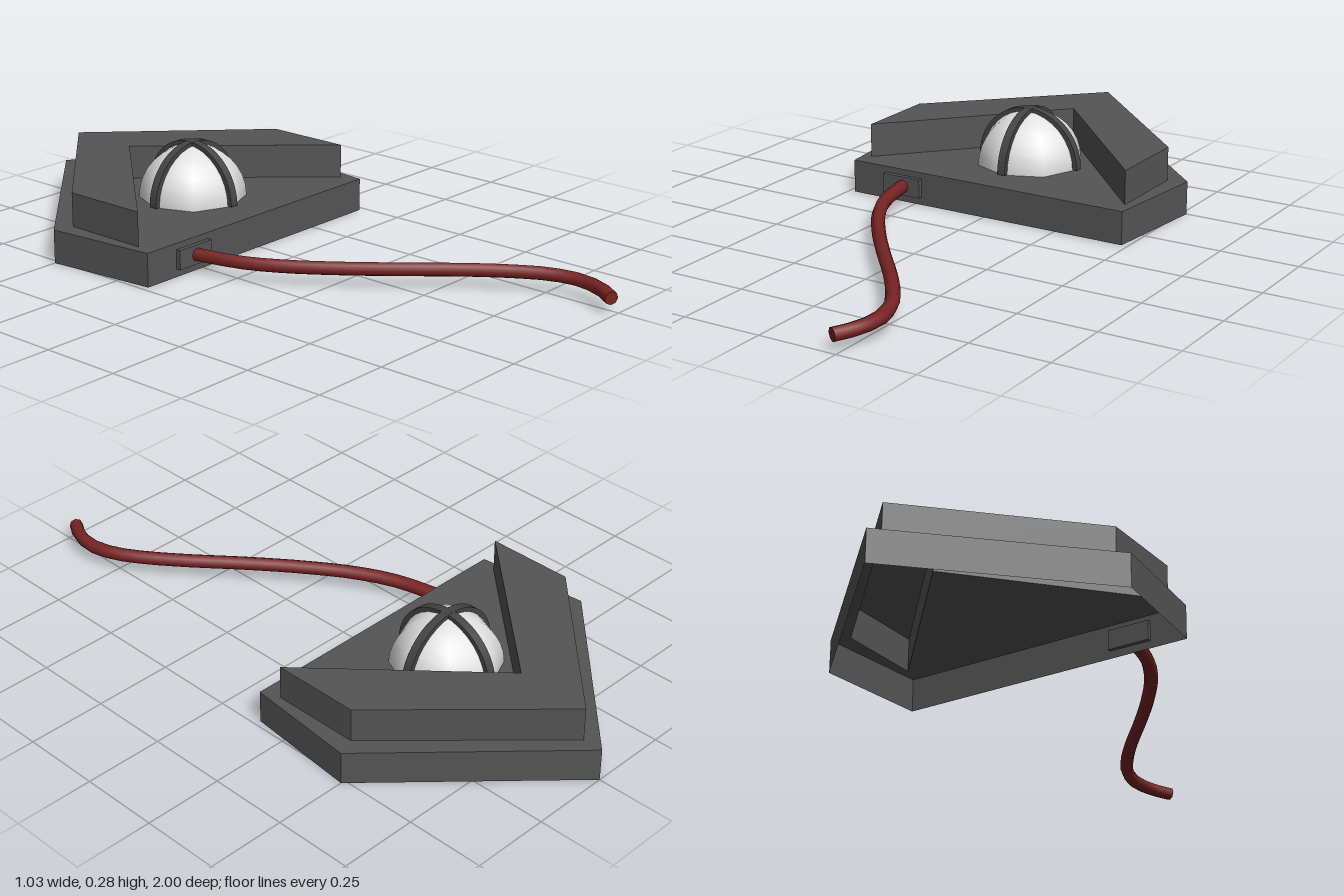
import * as THREE from 'three';

const V2 = (p) => new THREE.Vector2(p[0], -p[1]);

// Vertical walls around a closed outline of [x, z] points
function walls(points, y0, y1) {
  const pos = [];
  points.forEach(([ax, az], i) => {
    const [bx, bz] = points[(i + 1) % points.length];
    pos.push(ax, y0, az, ax, y1, az, bx, y1, bz);
    pos.push(ax, y0, az, bx, y1, bz, bx, y0, bz);
  });
  const g = new THREE.BufferGeometry();
  g.setAttribute('position', new THREE.Float32BufferAttribute(pos, 3));
  g.computeVertexNormals();
  return g;
}

// Flat upward-facing plate with an optional hole
function plate(points, y, hole) {
  const shape = new THREE.Shape(points.map(V2));
  if (hole) shape.holes.push(new THREE.Path(hole.map(V2)));
  return new THREE.ShapeGeometry(shape).rotateX(-Math.PI / 2).translate(0, y, 0);
}

export function createModel() {
  const group = new THREE.Group();
  const mat = (name, color, side = THREE.FrontSide) => {
    const m = new THREE.MeshStandardMaterial({ color, side });
    m.name = name;
    return m;
  };
  const housing = mat('housing grey', 0x555555, THREE.DoubleSide);
  const bandMat = mat('band dark grey', 0x434543);
  const domeMat = mat('dome white', 0xe2e2e2);
  const cableMat = mat('cable red', 0x7a2424);

  const add = (name, geometry, material) => {
    const mesh = new THREE.Mesh(geometry, material);
    mesh.name = name;
    group.add(mesh);
    return mesh;
  };

  // Hollow five-sided base, open underneath
  const base = [[0, -1], [-0.515, -0.5], [-0.48, -0.14], [0.48, -0.14], [0.515, -0.5]];
  // Raised chevron, hollow and open into the base
  const chevron = [[0, -0.935], [-0.456, -0.48], [-0.456, -0.2], [0, -0.7], [0.456, -0.2], [0.456, -0.48]];
  add('baseWalls', walls(base, 0, 0.105), housing);
  add('baseTop', plate(base, 0.105, chevron), housing);
  add('chevronWalls', walls(chevron, 0.105, 0.212), housing);
  add('chevronTop', plate(chevron, 0.212), housing);

  // Dome
  const dome = add('dome', new THREE.SphereGeometry(0.168, 8, 8, 0, Math.PI * 2, 0, Math.PI / 2), domeMat);
  dome.position.set(0, 0.106, -0.42);

  // Two crossed bands over the dome
  const arch = new THREE.Shape();
  arch.absarc(0, 0, 0.177, 0, Math.PI, false);
  arch.absarc(0, 0, 0.16, Math.PI, 0, true);
  for (const [name, turn] of [['crossBand', 0], ['lengthBand', Math.PI / 2]]) {
    const g = new THREE.ExtrudeGeometry(arch, { depth: 0.027, bevelEnabled: false, curveSegments: 20 });
    const band = add(name, g.translate(0, 0, -0.0135), bandMat);
    band.position.set(0, 0.108, -0.42);
    band.rotation.y = turn;
  }

  // Cable socket on the front wall
  add('socket', new THREE.BoxGeometry(0.134, 0.061, 0.027), housing).position.set(-0.294, 0.055, -0.1385);

  // Cable
  const path = new THREE.CatmullRomCurve3([
    [-0.29, 0.055, -0.135], [-0.256, 0.055, 0.016], [-0.196, 0.056, 0.143], [-0.095, 0.057, 0.29],
    [0, 0.058, 0.41], [0.138, 0.058, 0.575], [0.215, 0.057, 0.68], [0.26, 0.056, 0.76],
    [0.28, 0.054, 0.845], [0.265, 0.051, 0.925], [0.23, 0.047, 0.987],
  ].map((p) => new THREE.Vector3(...p)));
  add('cable', new THREE.TubeGeometry(path, 24, 0.021, 8), cableMat);
  const cap = add('cableEnd', new THREE.CircleGeometry(0.021, 8), cableMat);
  cap.position.copy(path.getPoint(1));
  cap.lookAt(path.getPoint(1).add(path.getTangent(1)));

  return group;
}
